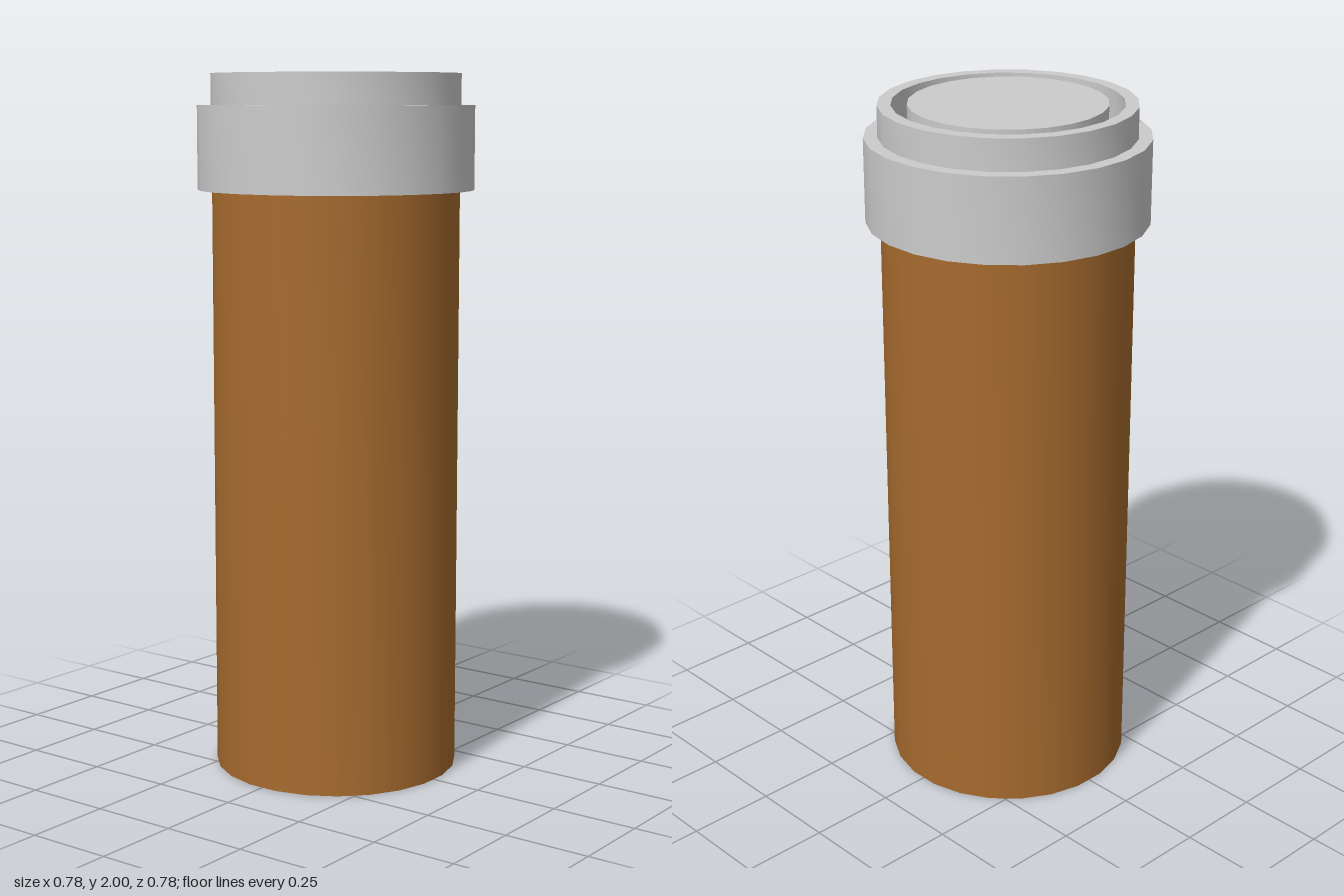
import * as THREE from 'three';
import { toCreasedNormals } from 'three/addons/utils/BufferGeometryUtils.js';

const SIDES = 24;

// Revolve a [radius, height] profile, bottom to top, with smooth sides and sharp rims
function turned(name, profile, material) {
  const points = profile.map(([r, y]) => new THREE.Vector2(r, y));
  const lathe = new THREE.LatheGeometry(points, SIDES, Math.PI / SIDES);
  const mesh = new THREE.Mesh(toCreasedNormals(lathe, Math.PI / 6), material);
  mesh.name = name;
  return mesh;
}

export function createModel() {
  const group = new THREE.Group();
  group.name = 'pillBottle';

  const amber = new THREE.MeshStandardMaterial({ color: 0xa76b2e });
  const grey = new THREE.MeshStandardMaterial({ color: 0xcccccc });

  // Closed tube of the bottle
  group.add(turned('bottleBody', [
    [0, 0], [0.352, 0], [0.352, 1.675],
  ], amber));

  // Cap: wide skirt, raised rim, groove and central disc
  group.add(turned('cap', [
    [0.352, 1.675], [0.393, 1.675], [0.393, 1.912],
    [0.354, 1.912], [0.354, 2], [0.317, 2],
    [0.317, 1.912], [0.273, 1.912], [0.273, 2], [0, 2],
  ], grey));

  return group;
}
